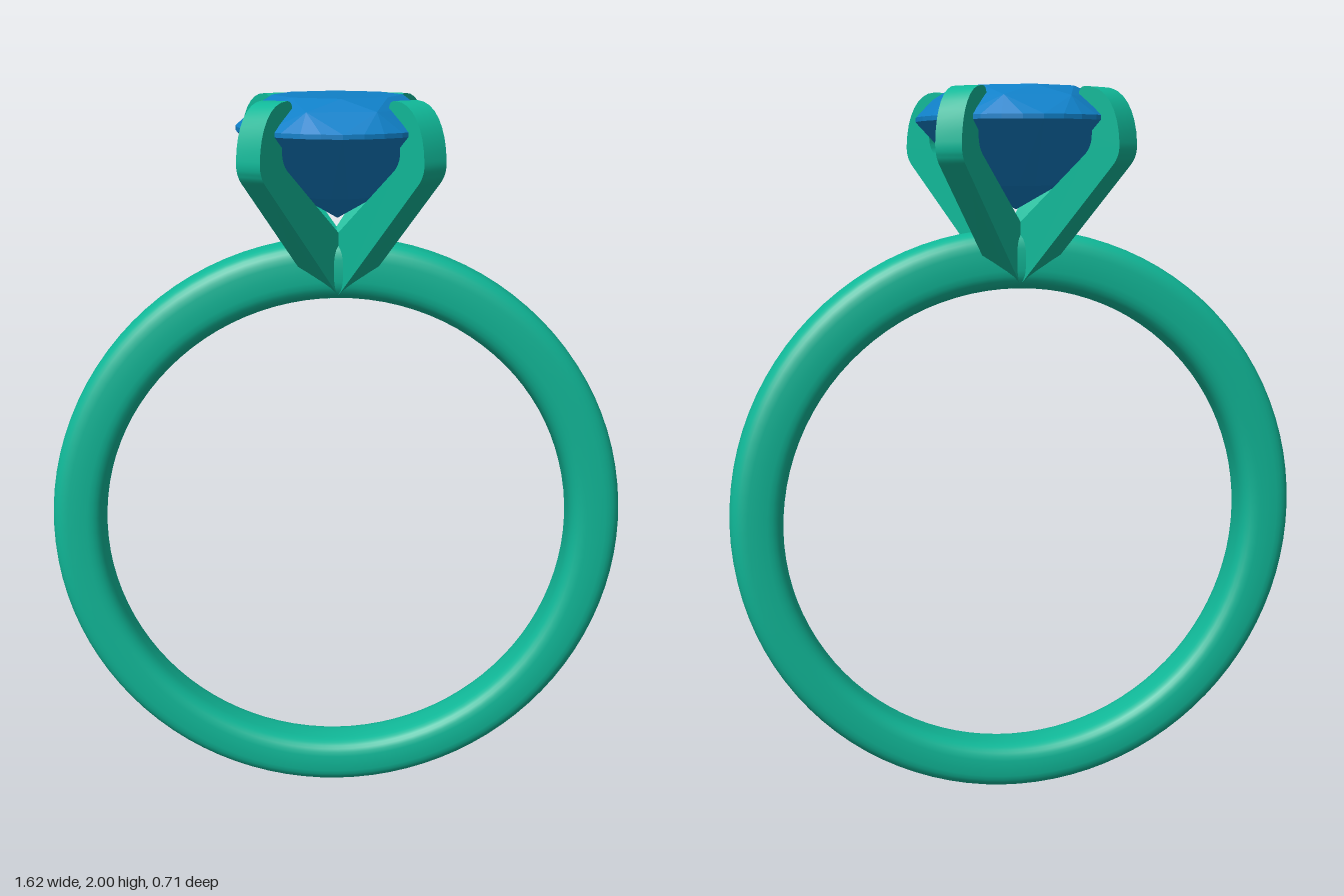
import * as THREE from 'three';
import { toCreasedNormals } from 'three/addons/utils/BufferGeometryUtils.js';
import { ConvexGeometry } from 'three/addons/geometries/ConvexGeometry.js';

// Band: rounded cross-section swept round two slightly offset circles, thicker at the top
function bandGeometry() {
  const around = 96, sides = 32, halfWidth = 0.078;
  const soft = (v) => Math.sign(v) * Math.abs(v) ** (2 / 3.2);
  const positions = [], index = [];
  for (let i = 0; i < around; i++) {
    const a = (i / around) * Math.PI * 2;
    for (let j = 0; j < sides; j++) {
      const b = (j / sides) * Math.PI * 2;
      const u = 0.5 + 0.5 * soft(Math.cos(b));
      const radius = THREE.MathUtils.lerp(0.663, 0.81, u);
      const centreY = THREE.MathUtils.lerp(0.792, 0.81, u);
      positions.push(radius * Math.cos(a), centreY + radius * Math.sin(a), halfWidth * soft(Math.sin(b)));
      const i2 = (i + 1) % around, j2 = (j + 1) % sides;
      const p = i * sides + j, q = i2 * sides + j, r = i2 * sides + j2, s = i * sides + j2;
      index.push(p, q, r, p, r, s);
    }
  }
  const geometry = new THREE.BufferGeometry();
  geometry.setAttribute('position', new THREE.Float32BufferAttribute(positions, 3));
  geometry.setIndex(index);
  geometry.computeVertexNormals();
  return geometry;
}

// Oval brilliant cut: the hull of elliptical rings of facet corners
function gemGeometry() {
  const points = [new THREE.Vector3(0, 1.672, 0)];
  const ring = (count, scale, y, offset = 0) => {
    for (let k = 0; k < count; k++) {
      const a = ((k + offset) / count) * Math.PI * 2;
      points.push(new THREE.Vector3(0.273 * scale * Math.cos(a), y, 0.354 * scale * Math.sin(a)));
    }
  };
  ring(8, 0.64, 2);             // table
  ring(8, 0.85, 1.97, 0.5);     // star corners
  ring(32, 1, 1.92);            // girdle top
  ring(32, 1, 1.908);           // girdle bottom
  ring(16, 0.42, 1.738, 0.5);   // pavilion
  return new ConvexGeometry(points);
}

// Prong: side outline (distance from axis, height) given a thickness
function prongGeometry() {
  const thickness = 0.077;
  const shape = new THREE.Shape();
  shape.moveTo(0, 1.455);
  shape.quadraticCurveTo(0.04, 1.455, 0.07, 1.49);
  shape.lineTo(0.36, 1.79);
  shape.quadraticCurveTo(0.385, 1.815, 0.382, 1.85);
  shape.bezierCurveTo(0.378, 1.93, 0.34, 1.995, 0.27, 1.995);
  shape.quadraticCurveTo(0.245, 1.995, 0.248, 1.965);
  shape.quadraticCurveTo(0.295, 1.93, 0.292, 1.87);
  shape.quadraticCurveTo(0.292, 1.84, 0.27, 1.82);
  shape.lineTo(0, 1.6);
  const geometry = new THREE.ExtrudeGeometry(shape, { depth: thickness, bevelEnabled: false, curveSegments: 8 });
  geometry.translate(0, 0, -thickness / 2);
  return toCreasedNormals(geometry, 0.6);
}

export function createModel() {
  const model = new THREE.Group();
  model.name = 'ring';
  const metal = new THREE.MeshStandardMaterial({ color: 0x10b898 });
  const stone = new THREE.MeshStandardMaterial({ color: 0x1080c8, flatShading: true });

  const add = (name, geometry, material) => {
    const mesh = new THREE.Mesh(geometry, material);
    mesh.name = name;
    model.add(mesh);
    return mesh;
  };

  add('band', bandGeometry(), metal);
  add('gemstone', gemGeometry(), stone);

  // Four prongs, mirrored in x and z
  const prong = prongGeometry();
  const angle = Math.atan2(0.787, 0.617);
  const prongs = {
    backLeftProng: angle, frontLeftProng: -angle,
    backRightProng: Math.PI - angle, frontRightProng: Math.PI + angle,
  };
  for (const [name, turn] of Object.entries(prongs)) add(name, prong, metal).rotation.y = turn;

  return model;
}
